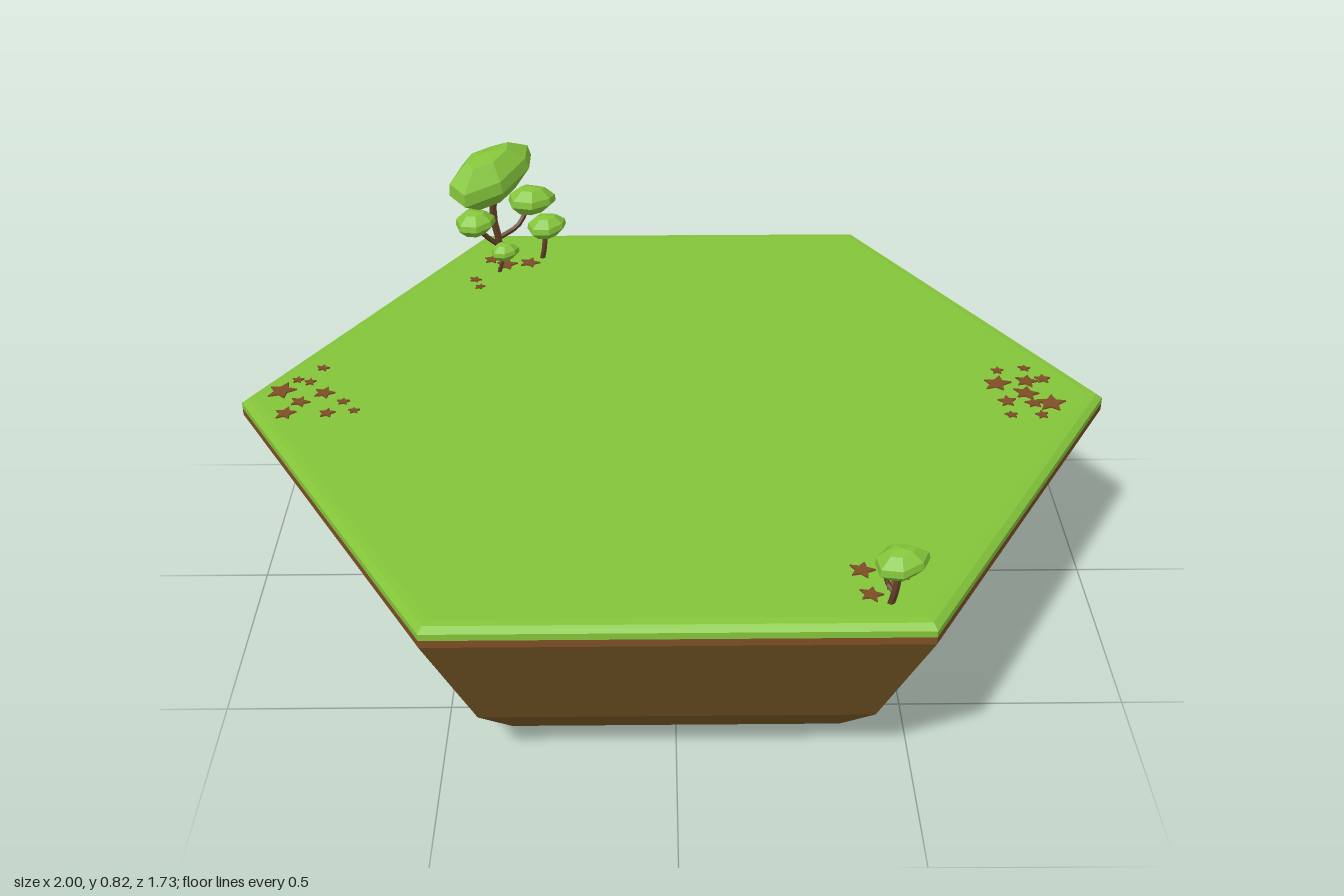
import * as THREE from 'three';

const mat = (name, color) => {
  const m = new THREE.MeshStandardMaterial({ color });
  m.name = name;
  return m;
};

export function createModel() {
  const green = mat('grass green', 0x84c43a);
  const soil = mat('soil brown', 0x755825);
  const rust = mat('rust brown', 0x7d4e26);
  const bark = mat('bark brown', 0x5e3c24);
  const model = new THREE.Group();
  model.name = 'hexIsland';

  // Faceted mesh: unshared vertices give one normal per face
  const facet = (name, geo, material, parent = model) => {
    const g = geo.index ? geo.toNonIndexed() : geo;
    g.computeVertexNormals();
    const mesh = new THREE.Mesh(g, material);
    mesh.name = name;
    parent.add(mesh);
    return mesh;
  };
  const lathe = (pts, sides) =>
    new THREE.LatheGeometry(pts.map(([x, y]) => new THREE.Vector2(x, y)), sides, Math.PI / 2);

  // Hexagonal ground layers
  facet('soilBase', lathe([[0, 0], [0.54, 0], [0.71, 0.045], [0.83, 0.16], [1, 0.464]], 6), soil);
  facet('earthBand', lathe([[1, 0.464], [1, 0.481]], 6), rust);
  facet('grassTop', lathe([[1, 0.481], [1, 0.496], [0.985, 0.507], [0.965, 0.509], [0, 0.509]], 6), green);

  // Leaf crown: flattened, slightly irregular low-poly blob
  const crown = (parent, [x, y, z], [rx, ry, rz], turn = 0, tilt = 0) => {
    const g = lathe([[0, -0.9], [0.55, -1], [0.97, -0.3], [0.92, 0.2], [0.5, 0.85], [0, 1]], 7);
    const p = g.attributes.position;
    for (let i = 0; i < p.count; i++) {
      const a = Math.atan2(p.getZ(i), p.getX(i)), r = Math.hypot(p.getX(i), p.getZ(i));
      const k = r > 0.01 ? 1 + 0.06 * Math.sin(3 * a + 1) : 1;
      p.setXYZ(i, p.getX(i) * k, p.getY(i) + 0.12 * r * Math.sin(2 * a), p.getZ(i) * k);
    }
    g.scale(rx, ry, rz);
    const m = facet('leafCrown', g, green, parent);
    m.position.set(x, y, z);
    m.rotation.set(0, turn, tilt);
  };

  // Branch: bent tube through a few points
  const branch = (parent, radius, ...pts) => {
    const curve = new THREE.CatmullRomCurve3(pts.map(p => new THREE.Vector3(...p)));
    facet('branch', new THREE.TubeGeometry(curve, 6, radius, 5), bark, parent);
  };

  const tree = name => {
    const g = new THREE.Group();
    g.name = name;
    model.add(g);
    return g;
  };

  // Large tree with three crowns
  const big = tree('largeTree');
  branch(big, 0.01, [-0.455, 0.5, -0.715], [-0.45, 0.56, -0.712], [-0.462, 0.63, -0.715], [-0.455, 0.73, -0.71]);
  branch(big, 0.007, [-0.452, 0.55, -0.712], [-0.485, 0.59, -0.69], [-0.505, 0.64, -0.66]);
  branch(big, 0.007, [-0.452, 0.57, -0.712], [-0.4, 0.595, -0.74], [-0.37, 0.65, -0.765]);
  crown(big, [-0.462, 0.76, -0.7], [0.145, 0.063, 0.075], 0.85, 0.15);
  crown(big, [-0.505, 0.642, -0.66], [0.055, 0.031, 0.05], 0.4);
  crown(big, [-0.365, 0.656, -0.77], [0.068, 0.035, 0.048], 0.4, -0.1);

  // Saplings beside the large tree
  const side = tree('sideSapling');
  branch(side, 0.007, [-0.34, 0.5, -0.72], [-0.332, 0.54, -0.715], [-0.328, 0.595, -0.725]);
  crown(side, [-0.325, 0.601, -0.725], [0.056, 0.029, 0.044], 0.5);
  const tiny = tree('tinySapling');
  branch(tiny, 0.005, [-0.45, 0.5, -0.638], [-0.44, 0.53, -0.635], [-0.432, 0.565, -0.64]);
  crown(tiny, [-0.43, 0.568, -0.64], [0.038, 0.022, 0.03], 0.3);

  // Small tree at the front
  const small = tree('smallTree');
  branch(small, 0.008, [0.415, 0.5, 0.79], [0.422, 0.54, 0.795], [0.43, 0.595, 0.785]);
  branch(small, 0.005, [0.42, 0.535, 0.795], [0.408, 0.55, 0.78], [0.4, 0.585, 0.775]);
  crown(small, [0.433, 0.601, 0.78], [0.058, 0.03, 0.045], 0.25, 0.08);

  // Fallen star-shaped leaves: x, z, radius
  const star = (name, x, z, r, i) => {
    const shape = new THREE.Shape();
    for (let k = 0; k < 10; k++) {
      const a = k * Math.PI / 5, q = k % 2 ? r * 0.48 : r;
      shape[k ? 'lineTo' : 'moveTo'](q * Math.cos(a), q * Math.sin(a));
    }
    const g = new THREE.ExtrudeGeometry(shape, { depth: 0.004, bevelEnabled: false });
    g.rotateX(-Math.PI / 2);
    const m = facet(name, g, rust);
    m.position.set(x, 0.511, z);
    m.rotation.set(0.1 * Math.sin(i * 2), i * 1.3, 0.1 * Math.cos(i * 3));
  };
  const patches = {
    leftLeaf: [[0.76, -0.04, 0.034], [0.83, -0.05, 0.028], [0.82, 0.005, 0.032], [0.87, 0.05, 0.035],
      [0.77, -0.1, 0.016], [0.835, -0.11, 0.016], [0.87, -0.06, 0.02], [0.77, 0.04, 0.022],
      [0.83, 0.05, 0.022], [0.77, 0.1, 0.016], [0.84, 0.1, 0.016]],
    rightLeaf: [[-0.91, -0.025, 0.036], [-0.81, -0.015, 0.026], [-0.86, 0.025, 0.024], [-0.885, 0.075, 0.026],
      [-0.79, 0.075, 0.02], [-0.83, -0.13, 0.016], [-0.88, -0.075, 0.015], [-0.85, -0.065, 0.015],
      [-0.76, 0.025, 0.016], [-0.73, 0.065, 0.014]],
    frontLeaf: [[0.45, 0.69, 0.036], [0.37, 0.69, 0.028], [0.38, 0.77, 0.026], [0.425, 0.74, 0.016]],
    backLeaf: [[-0.49, -0.545, 0.014], [-0.37, -0.68, 0.028], [-0.505, -0.585, 0.016], [-0.43, -0.67, 0.03],
      [-0.47, -0.7, 0.022]],
  };
  for (const [name, list] of Object.entries(patches))
    list.forEach(([x, z, r], i) => star(name, x, z, r, i));

  return model;
}
